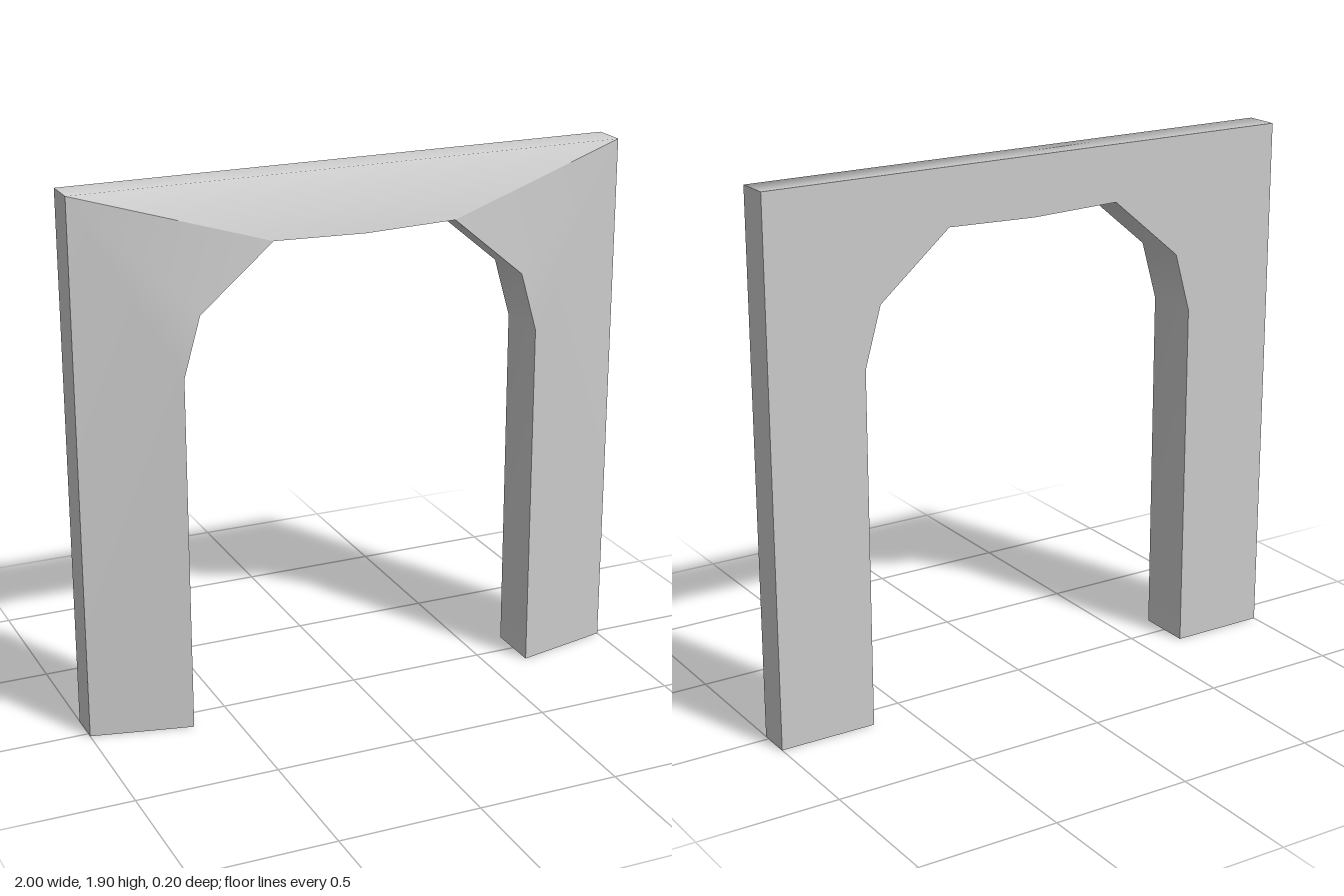
import * as THREE from 'three';
import { toCreasedNormals } from 'three/addons/utils/BufferGeometryUtils.js';

const TOP = 1.9, BACK = -0.1, FRONT = 0.1, EDGE = 0.02;

// Half of the opening, from the floor up to the crown
const half = [[0.65, 0], [0.65, 1.27], [0.59, 1.48], [0.33, 1.7]];
const arch = [...half, [0, 1.69], ...half.map(([x, y]) => [-x, y]).reverse()];

function surface(points, faces) {
  const g = new THREE.BufferGeometry();
  g.setAttribute('position', new THREE.Float32BufferAttribute(points.flat(), 3));
  g.setIndex(faces.flat());
  g.computeVertexNormals();
  return g;
}

export function createModel() {
  const group = new THREE.Group();
  const material = new THREE.MeshStandardMaterial({ color: 0xcccccc, side: THREE.DoubleSide });
  const add = (name, geometry) => {
    const mesh = new THREE.Mesh(geometry, material);
    mesh.name = name;
    group.add(mesh);
    return mesh;
  };

  // Flat back panel around the opening
  const outline = [[-1, 0], ...[...arch].reverse(), [1, 0], [1, TOP], [-1, TOP]];
  const back = new THREE.ShapeGeometry(new THREE.Shape(outline.map(p => new THREE.Vector2(...p))));
  back.rotateY(Math.PI);
  add('backPanel', back).position.z = BACK;

  // Inner lining of the opening
  const rim = arch.flatMap(([x, y]) => [[x, y, FRONT], [x, y, BACK]]);
  const strips = arch.slice(1).map((_, i) => {
    const a = 2 * i;
    return [a, a + 1, a + 2, a + 2, a + 1, a + 3];
  });
  add('archLining', toCreasedNormals(surface(rim, strips), 0.65));

  // Sloping lintel, running smoothly into the top
  add('lintel', surface([
    [-1, TOP, EDGE], [-0.33, 1.7, FRONT], [0, 1.69, FRONT], [0.33, 1.7, FRONT], [1, TOP, EDGE],
    [1, TOP, BACK], [-1, TOP, BACK],
  ], [[0, 1, 2], [0, 2, 4], [2, 3, 4], [0, 4, 5], [0, 5, 6]]));

  // Bevelled post fronts and outer sides, open at the floor
  for (const s of [1, -1]) {
    const side = s > 0 ? 'left' : 'right';
    const turn = faces => faces.map(f => (s > 0 ? f : [...f].reverse()));
    const front = [[s, 0, EDGE], [s, TOP, EDGE], ...half.map(([x, y]) => [s * x, y, FRONT])];
    add(side + 'PostFront', surface(front, turn([[0, 1, 3], [0, 3, 2], [1, 4, 3], [1, 5, 4]])));
    const outer = [[s, 0, EDGE], [s, 0, BACK], [s, TOP, BACK], [s, TOP, EDGE]];
    add(side + 'OuterSide', surface(outer, turn([[0, 1, 2], [0, 2, 3]])));
  }
  return group;
}
